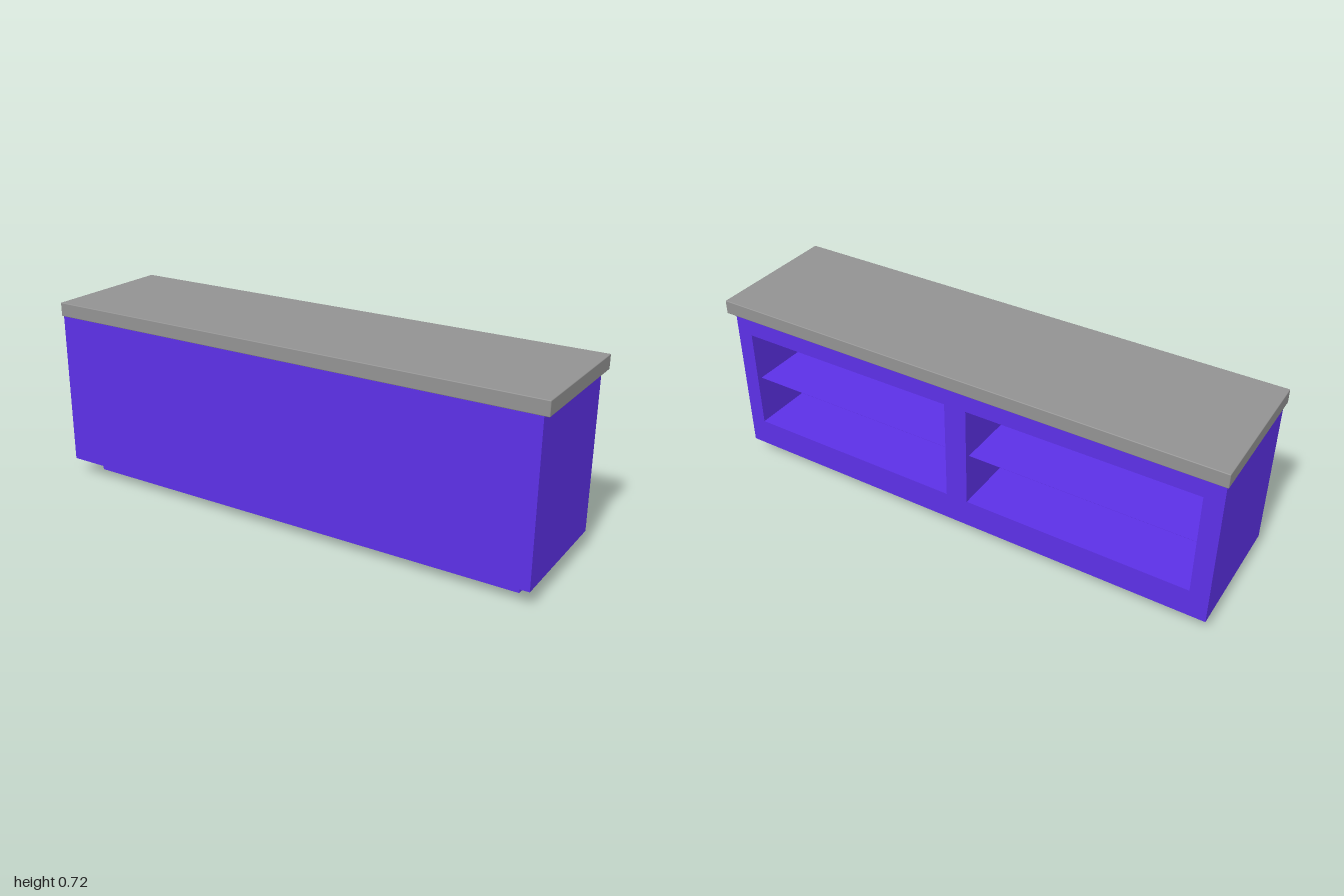
import * as THREE from 'three';
import { RoundedBoxGeometry } from 'three/addons/geometries/RoundedBoxGeometry.js';

const purple = new THREE.MeshStandardMaterial({ color: 0x5c30e6 });
purple.name = 'purple cabinet';
const grey = new THREE.MeshStandardMaterial({ color: 0x929292 });
grey.name = 'grey worktop';

// Cabinet extents and the two shelf openings in its back
const X0 = -0.988, X1 = 0.982, Y0 = 0.064, Y1 = 0.662;
const BACK = -0.239, INNER = 0.2, FRONT = 0.266;
const OPEN_Y0 = 0.174, OPEN_Y1 = 0.576;
const openings = [[-0.918, -0.045], [0.042, 0.918]];

function rectangle(target, x0, x1, y0, y1) {
  target.moveTo(x0, y0);
  target.lineTo(x1, y0);
  target.lineTo(x1, y1);
  target.lineTo(x0, y1);
  target.closePath();
  return target;
}

function addMesh(group, name, geometry, material, x, y, z) {
  const mesh = new THREE.Mesh(geometry, material);
  mesh.name = name;
  mesh.position.set(x, y, z);
  group.add(mesh);
}

// Box given by its limits, with optional rounded edges
function addBox(group, name, material, x0, x1, y0, y1, z0, z1, radius = 0) {
  const size = [x1 - x0, y1 - y0, z1 - z0];
  const geometry = radius
    ? new RoundedBoxGeometry(...size, 2, radius)
    : new THREE.BoxGeometry(...size);
  addMesh(group, name, geometry, material, (x0 + x1) / 2, (y0 + y1) / 2, (z0 + z1) / 2);
}

export function createModel() {
  const model = new THREE.Group();
  model.name = 'counter';

  // Recessed plinth
  addBox(model, 'plinth', purple, -0.92, 0.916, 0, Y0, -0.156, 0.184);

  // Carcass with two open compartments
  const face = rectangle(new THREE.Shape(), X0, X1, Y0, Y1);
  for (const [a, b] of openings) face.holes.push(rectangle(new THREE.Path(), a, b, OPEN_Y0, OPEN_Y1));
  const carcass = new THREE.ExtrudeGeometry(face, { depth: INNER - BACK, bevelEnabled: false });
  addMesh(model, 'carcass', carcass, purple, 0, 0, BACK);

  // Closed front
  addBox(model, 'frontPanel', purple, X0, X1, Y0, Y1, INNER, FRONT);

  // One very thin shelf in each compartment, set slightly in
  for (const [a, b] of openings) {
    addBox(model, 'shelf', purple, a, b, 0.372, 0.373, BACK + 0.02, INNER);
  }

  // Worktop with softened edges, overhanging the back
  addBox(model, 'worktop', grey, -1, 1, Y1, 0.716, -0.266, 0.266, 0.003);

  return model;
}
